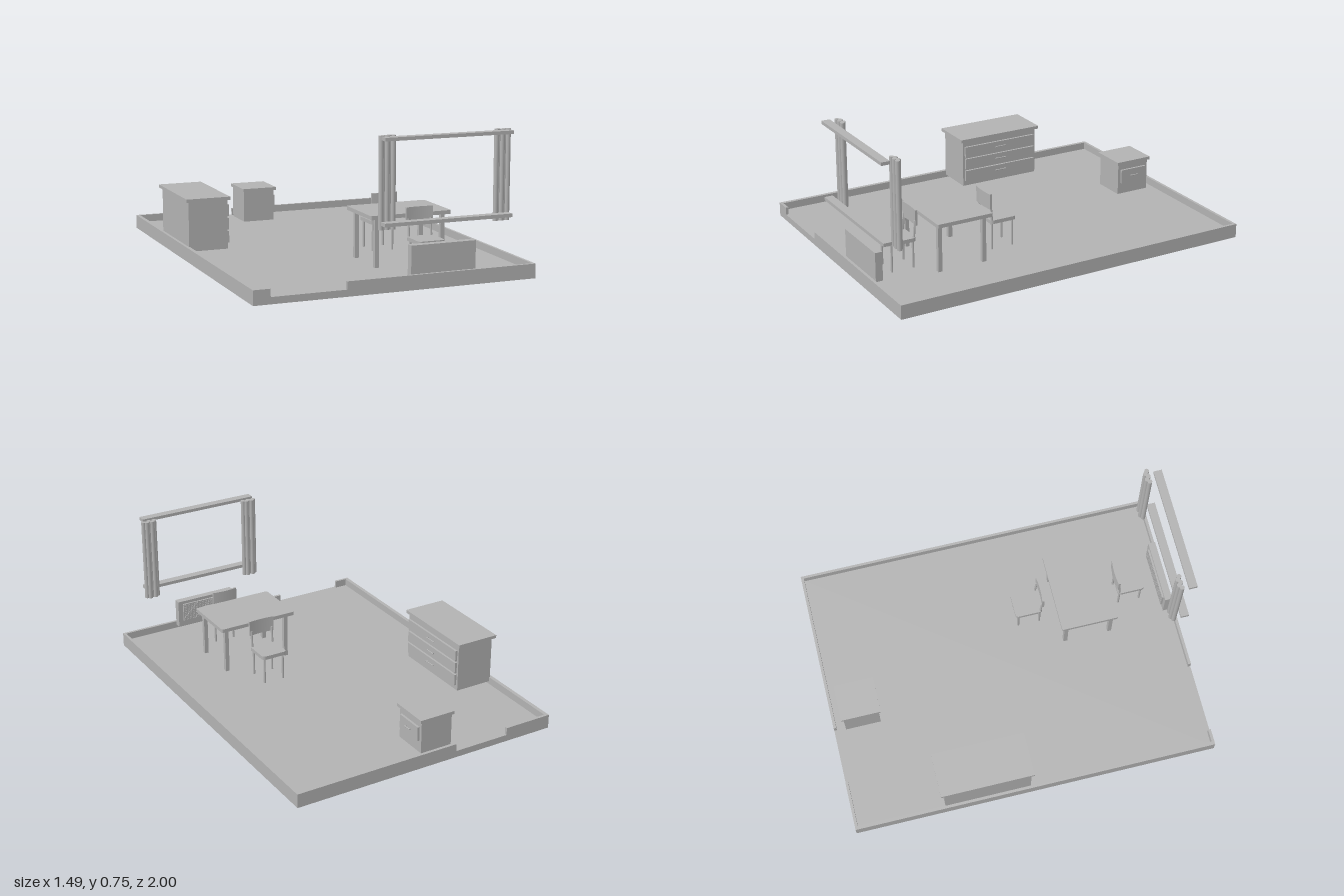
import * as THREE from 'three';

const grey = new THREE.MeshStandardMaterial({ color: 0xb2b2b2 });
grey.name = 'plain grey';
const FLOOR = 0.035;

function add(parent, name, geometry) {
  const mesh = new THREE.Mesh(geometry, grey);
  mesh.name = name;
  parent.add(mesh);
  return mesh;
}

function group(parent, name) {
  const g = new THREE.Group();
  g.name = name;
  parent.add(g);
  return g;
}

// Box given by its limits on each axis
function box(parent, name, x0, x1, y0, y1, z0, z1) {
  const mesh = add(parent, name, new THREE.BoxGeometry(x1 - x0, y1 - y0, z1 - z0));
  mesh.position.set((x0 + x1) / 2, (y0 + y1) / 2, (z0 + z1) / 2);
  return mesh;
}

// Upright cylinder from y0 to y1
function post(parent, name, x, z, r, y0, y1, sides = 16) {
  const mesh = add(parent, name, new THREE.CylinderGeometry(r, r, y1 - y0, sides));
  mesh.position.set(x, (y0 + y1) / 2, z);
  return mesh;
}

// Horizontal slab with rounded corners, centred on x, z
function roundedSlab(parent, name, x, z, w, d, y0, y1, r) {
  const a = w / 2, b = d / 2;
  const s = new THREE.Shape();
  s.absarc(a - r, b - r, r, 0, Math.PI / 2);
  s.absarc(-a + r, b - r, r, Math.PI / 2, Math.PI);
  s.absarc(-a + r, -b + r, r, Math.PI, Math.PI * 1.5);
  s.absarc(a - r, -b + r, r, Math.PI * 1.5, Math.PI * 2);
  const geo = new THREE.ExtrudeGeometry(s, { depth: y1 - y0, bevelEnabled: false, curveSegments: 6 });
  geo.rotateX(-Math.PI / 2);
  const mesh = add(parent, name, geo);
  mesh.position.set(x, y0, z);
}

// Drawer front facing +x with a bar handle on two short stems
function drawer(parent, x, y0, y1, z0, z1, handleLength, handleY) {
  box(parent, 'drawerFront', x, x + 0.012, y0, y1, z0, z1);
  const z = (z0 + z1) / 2;
  const bar = add(parent, 'drawerHandle', new THREE.CylinderGeometry(0.003, 0.003, handleLength, 12));
  bar.rotation.x = Math.PI / 2;
  bar.position.set(x + 0.02, handleY, z);
  for (const s of [-1, 1]) {
    const sz = z + s * handleLength * 0.4;
    box(parent, 'handleStem', x + 0.011, x + 0.02, handleY - 0.002, handleY + 0.002, sz - 0.002, sz + 0.002);
  }
}

// Chair facing +z, origin on the middle of its seat at floor height
function chair(parent, name, x, z, turn) {
  const g = group(parent, name);
  g.position.set(x, 0, z);
  g.rotation.y = turn;
  roundedSlab(g, 'seat', 0, 0, 0.145, 0.15, 0.18, 0.2, 0.018);
  for (const sx of [-1, 1]) {
    for (const lz of [-0.062, 0.058]) post(g, 'chairLeg', sx * 0.056, lz, 0.006, FLOOR, 0.182);
    const stile = post(g, 'backStile', sx * 0.062, -0.069, 0.006, 0.195, 0.29);
    stile.rotation.x = -0.08;
  }
  // Slightly curved backrest panel
  const geo = new THREE.BoxGeometry(0.145, 0.083, 0.012, 8, 1, 1);
  const p = geo.attributes.position;
  for (let i = 0; i < p.count; i++) p.setZ(i, p.getZ(i) + Math.pow(p.getX(i) / 0.0725, 2) * 0.006);
  geo.computeVertexNormals();
  add(g, 'backrest', geo).position.set(0, 0.306, -0.082);
}

export function createModel() {
  const model = new THREE.Group();
  model.name = 'furnishedRoom';

  // Floor and low walls, with doorways at front and back
  const room = group(model, 'room');
  box(room, 'floor', -0.748, 0.745, 0, FLOOR, -1, 0.987);
  const H = 0.075;
  box(room, 'rightWall', -0.748, -0.728, FLOOR, H, -1, 0.987);
  box(room, 'leftWall', 0.731, 0.745, FLOOR, H, -1, 0.987);
  box(room, 'backWallShort', -0.728, -0.48, FLOOR, H, -1, -0.985);
  box(room, 'backWallLong', -0.17, 0.731, FLOOR, H, -1, -0.985);
  box(room, 'frontWallShort', -0.728, -0.66, FLOOR, H, 0.972, 0.987);
  box(room, 'frontWallLong', -0.273, 0.731, FLOOR, H, 0.972, 0.987);

  // Wide chest with three drawers
  const dresser = group(model, 'dresser');
  box(dresser, 'dresserBody', -0.733, -0.52, 0.05, 0.313, -0.507, -0.037);
  box(dresser, 'dresserTop', -0.748, -0.509, 0.313, 0.33, -0.525, -0.022);
  for (let i = 0; i < 3; i++) {
    const y = 0.08 + i * 0.071;
    drawer(dresser, -0.52, y, y + 0.061, -0.495, -0.048, 0.066, y + 0.034);
  }

  // Small cabinet with one drawer
  const cabinet = group(model, 'smallCabinet');
  box(cabinet, 'cabinetBody', -0.18, 0, 0.04, 0.215, -0.935, -0.742);
  box(cabinet, 'cabinetTop', -0.188, 0.012, 0.215, 0.232, -0.945, -0.731);
  drawer(cabinet, 0, 0.105, 0.182, -0.918, -0.758, 0.045, 0.145);

  // Dining table
  const table = group(model, 'table');
  roundedSlab(table, 'tableTop', 0.228, 0.476, 0.446, 0.312, 0.285, 0.305, 0.008);
  for (const sx of [-1, 1]) {
    for (const sz of [-1, 1]) {
      const x = 0.229 + sx * 0.183, z = 0.48 + sz * 0.126;
      box(table, 'tableLeg', x - 0.011, x + 0.011, FLOOR, 0.285, z - 0.011, z + 0.011);
    }
  }

  // Two chairs with their backs to the table
  chair(model, 'frontChair', 0.247, 0.76, 0);
  chair(model, 'backChair', 0.247, 0.18, Math.PI);

  // Radiator with a fine grille toward the room
  const radiator = group(model, 'radiator');
  box(radiator, 'radiatorBody', 0.072, 0.421, 0.06, 0.215, 0.924, 0.963);
  for (let i = 0; i < 30; i++) {
    const x = 0.1 + i * 0.01;
    box(radiator, 'grilleBar', x - 0.003, x + 0.003, 0.095, 0.198, 0.914, 0.925);
  }
  for (let i = 0; i < 10; i++) {
    const y = 0.098 + i * 0.0108;
    box(radiator, 'grilleCrossBar', 0.097, 0.393, y - 0.003, y + 0.003, 0.915, 0.925);
  }

  // Window rails and gathered curtains
  const windowUnit = group(model, 'window');
  box(windowUnit, 'windowHead', -0.085, 0.6, 0.735, 0.752, 0.955, 1);
  box(windowUnit, 'windowSill', -0.085, 0.6, 0.323, 0.341, 0.955, 1);
  for (const start of [-0.072, 0.548]) {
    const curtain = group(windowUnit, 'curtain');
    for (let i = 0; i < 5; i++) {
      post(curtain, 'curtainFold', start + i * 0.016, i % 2 ? 0.91 : 0.921, 0.0125, 0.295, 0.752, 20);
    }
  }
  return model;
}
